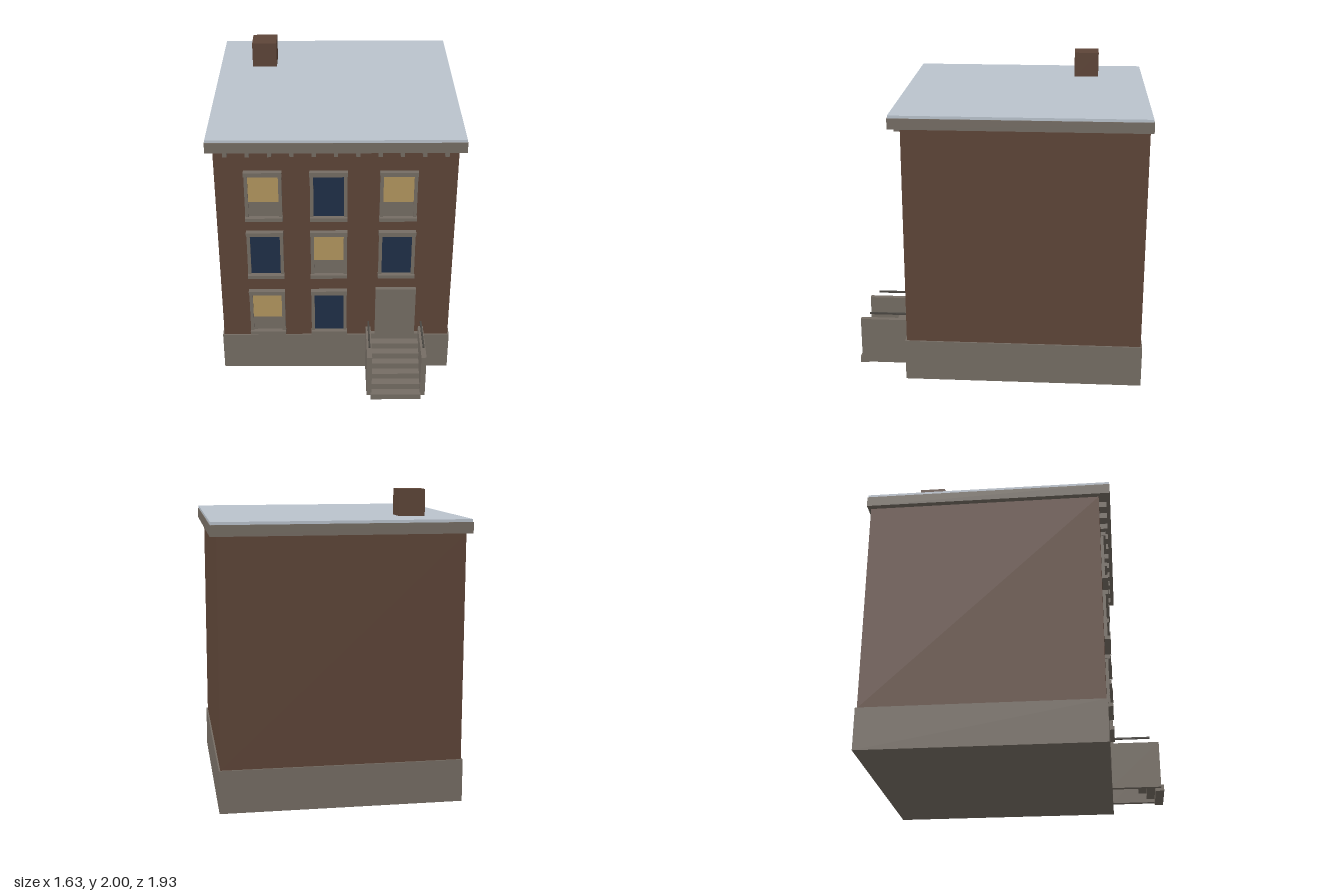
import * as THREE from 'three';

const mat = (name, color) => {
  const m = new THREE.MeshStandardMaterial({ color });
  m.name = name;
  return m;
};

export function createModel() {
  const brick = mat('brick', 0x5e4538);
  const stone = mat('stone', 0x756d64);
  const roofing = mat('roofing', 0xbac3cd);
  const amber = mat('lit blind', 0xb2965f);
  const navy = mat('dark glass', 0x1f2f47);
  const iron = mat('iron', 0x4a4742);

  const house = new THREE.Group();
  house.name = 'townhouse';

  // Box given by its limits on each axis
  const box = (parent, name, material, [x0, x1], [y0, y1], [z0, z1]) => {
    const mesh = new THREE.Mesh(new THREE.BoxGeometry(x1 - x0, y1 - y0, z1 - z0), material);
    mesh.position.set((x0 + x1) / 2, (y0 + y1) / 2, (z0 + z1) / 2);
    mesh.name = name;
    parent.add(mesh);
  };
  const group = (name) => {
    const g = new THREE.Group();
    g.name = name;
    house.add(g);
    return g;
  };
  const wallZ = 0.605;

  // Main masses
  box(house, 'base', stone, [-0.785, 0.785], [0, 0.28], [-0.955, 0.615]);
  box(house, 'walls', brick, [-0.775, 0.775], [0.28, 1.74], [-0.945, wallZ]);
  box(house, 'cornice', stone, [-0.815, 0.815], [1.74, 1.81], [-0.965, 0.68]);
  box(house, 'roof', roofing, [-0.811, 0.811], [1.81, 1.828], [-0.961, 0.676]);
  box(house, 'chimney', brick, [-0.585, -0.415], [1.828, 2], [-0.645, -0.475]);

  // Brackets under the cornice
  const brackets = group('brackets');
  for (let i = -5; i <= 5; i++) {
    const x = i * 0.139;
    box(brackets, 'bracket', stone, [x - 0.013, x + 0.013], [1.7, 1.74], [wallZ, 0.655]);
  }

  // Windows: y is the underside of the sill
  const addWindow = (x, y, lit) => {
    const w = group('window');
    box(w, 'sill', stone, [x - 0.122, x + 0.122], [y, y + 0.025], [wallZ, 0.645]);
    box(w, 'lintel', stone, [x - 0.122, x + 0.122], [y + 0.328, y + 0.358], [wallZ, 0.64]);
    for (const s of [-1, 1]) {
      const c = x + s * 0.109;
      box(w, 'jamb', stone, [c - 0.011, c + 0.011], [y + 0.025, y + 0.328], [wallZ, 0.625]);
    }
    const span = [x - 0.098, x + 0.098], depth = [wallZ, 0.612];
    if (lit) {
      box(w, 'lowerPane', stone, span, [y + 0.025, y + 0.13], depth);
      box(w, 'blind', amber, span, [y + 0.13, y + 0.328], depth);
    } else {
      box(w, 'glass', navy, span, [y + 0.025, y + 0.328], depth);
    }
  };
  const columns = [-0.467, -0.047, 0.402];
  const rows = [
    [0.305, [true, false]],
    [0.773, [false, true, false]],
    [1.22, [true, false, true]],
  ];
  for (const [y, lights] of rows) lights.forEach((lit, i) => addWindow(columns[i], y, lit));

  // Door
  box(house, 'door', stone, [0.268, 0.54], [0.28, 0.675], [wallZ, 0.635]);

  // Stoop: open slab steps between two cheek walls with rails
  const stoop = group('stoop');
  const cx = 0.404;
  for (let i = 0; i < 7; i++) {
    const half = i === 0 ? 0.17 : 0.163;
    const front = 0.967 - i * 0.056;
    box(stoop, 'step', stone, [cx - half, cx + half], [i * 0.043, (i + 1) * 0.043],
      [Math.max(front - 0.058, wallZ), front]);
  }
  for (const s of [-1, 1]) {
    const c = cx + s * 0.181;
    box(stoop, 'cheekWall', stone, [c - 0.017, c + 0.017], [0.02, 0.343], [wallZ, 0.947]);
    box(stoop, 'handrail', iron, [c - 0.006, c + 0.006], [0.376, 0.388], [wallZ, 0.885]);
  }
  return house;
}
